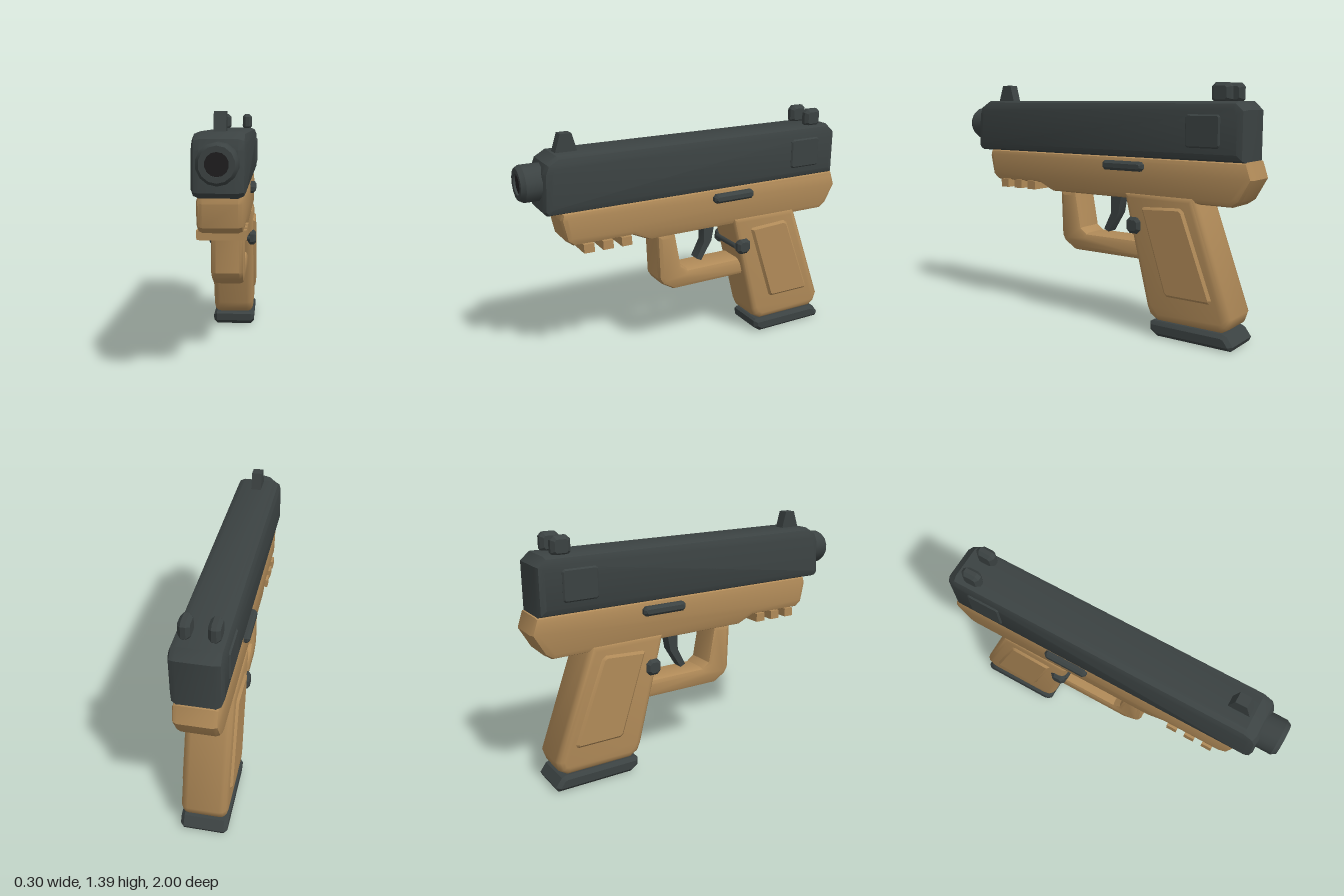
import * as THREE from 'three';
import { toCreasedNormals } from 'three/addons/utils/BufferGeometryUtils.js';

export function createModel() {
  const model = new THREE.Group();
  model.name = 'pistol';

  const material = (name, color) => {
    const m = new THREE.MeshStandardMaterial({ color });
    m.name = name;
    return m;
  };
  const dark = material('darkMetal', 0x3b4242);
  const tan = material('tanPolymer', 0xb08a58);
  const black = material('boreBlack', 0x1f1e1f);

  const add = (name, geometry, mat) => {
    const mesh = new THREE.Mesh(geometry, mat);
    mesh.name = name;
    model.add(mesh);
    return mesh;
  };

  // Side outline as [z, y] points, extruded from x0 to x1 with bevels kept inside the outline
  const slab = (name, points, x0, x1, bevel, mat, segments = 1, crease = 0.5) => {
    const shape = new THREE.Shape(points.map(([z, y]) => new THREE.Vector2(z, y)));
    const geometry = new THREE.ExtrudeGeometry(shape, {
      depth: x1 - x0 - 2 * bevel,
      bevelEnabled: bevel > 0,
      bevelThickness: bevel,
      bevelSize: bevel,
      bevelOffset: -bevel,
      bevelSegments: segments,
    });
    geometry.translate(0, 0, bevel - (x1 - x0) / 2);
    geometry.rotateY(-Math.PI / 2);
    geometry.translate((x0 + x1) / 2, 0, 0);
    return add(name, toCreasedNormals(geometry, crease), mat);
  };
  const pair = (name, points, x0, x1, bevel, mat) => {
    slab(name + 'Left', points, x0, x1, bevel, mat);
    slab(name + 'Right', points, -x1, -x0, bevel, mat);
  };
  // Rectangle outline with cut corners
  const rect = (z0, z1, y0, y1, c) => [
    [z0 + c, y0], [z1 - c, y0], [z1, y0 + c], [z1, y1 - c],
    [z1 - c, y1], [z0 + c, y1], [z0, y1 - c], [z0, y0 + c],
  ];

  // Slide and its raised side panels
  slab('slide', [
    [0.88, 0.985], [0.9, 1.01], [0.89, 1.21], [0.87, 1.26], [0.81, 1.295],
    [-0.91, 1.295], [-0.96, 1.25], [-0.96, 0.985],
  ], -0.132, 0.132, 0.04, dark, 2);
  pair('slidePanel', rect(-0.83, -0.63, 1.055, 1.228, 0.012), 0.11, 0.141, 0.008, dark);

  // Barrel with an open muzzle and a black bore
  const barrel = new THREE.LatheGeometry([
    [0.1, 0.8], [0.1, 0.975], [0.085, 1], [0.057, 1], [0.057, 0.985],
  ].map(([r, z]) => new THREE.Vector2(r, z)), 14);
  barrel.rotateX(Math.PI / 2);
  add('barrel', toCreasedNormals(barrel, 0.5), dark).position.y = 1.15;
  add('bore', new THREE.CircleGeometry(0.058, 14), black).position.set(0, 1.15, 0.988);

  // Sights
  slab('frontSight', [[0.8, 1.28], [0.763, 1.39], [0.7, 1.39], [0.67, 1.28]], -0.03, 0.03, 0, dark);
  pair('rearSight', rect(-0.863, -0.755, 1.285, 1.39, 0.02), 0.041, 0.101, 0.018, dark);

  // Frame with accessory rail
  slab('frame', [
    [0.8, 0.99], [-0.97, 0.99], [-1, 0.9], [-0.935, 0.785], [-0.89, 0.755],
    [0.3, 0.755], [0.4, 0.8], [0.745, 0.8], [0.785, 0.83], [0.81, 0.95],
  ], -0.117, 0.117, 0.03, tan, 2);
  for (const z of [0.67, 0.56, 0.45]) {
    add('railTooth', new THREE.BoxGeometry(0.25, 0.05, 0.06), tan).position.set(0, 0.782, z);
  }

  // Trigger guard
  slab('triggerGuard', [
    [0.247, 0.765], [0.237, 0.49], [0.215, 0.455], [0.14, 0.41], [-0.36, 0.41],
    [-0.36, 0.52], [0.05, 0.52], [0.09, 0.55], [0.13, 0.765],
  ], -0.095, 0.095, 0.028, tan, 2);

  // Trigger
  slab('trigger', [
    [-0.09, 0.78], [-0.165, 0.78], [-0.14, 0.65], [-0.07, 0.535], [-0.04, 0.55], [-0.09, 0.65],
  ], -0.035, 0.035, 0, dark);

  // Grip with raised side panels
  slab('grip', [
    [-0.23, 0.8], [-0.39, 0.16], [-0.41, 0.115], [-0.46, 0.085], [-0.85, 0.085],
    [-0.89, 0.11], [-0.91, 0.17], [-0.68, 0.8],
  ], -0.127, 0.127, 0.04, tan, 3, 0.8);
  pair('gripPanel', [
    [-0.36, 0.71], [-0.375, 0.72], [-0.6, 0.732], [-0.625, 0.715],
    [-0.8, 0.255], [-0.79, 0.235], [-0.53, 0.235], [-0.51, 0.25],
  ], 0.11, 0.141, 0.015, tan);

  // Magazine base
  slab('magazineBase', [
    [-0.415, 0.075], [-0.418, 0.03], [-0.46, 0], [-0.91, 0],
    [-0.922, 0.025], [-0.885, 0.075], [-0.86, 0.085], [-0.43, 0.085],
  ], -0.132, 0.132, 0.02, dark);

  // Slide stops, release buttons and the pin between them
  pair('slideStop', rect(-0.367, -0.1, 0.912, 0.965, 0.015), 0.1, 0.149, 0.014, dark);
  pair('releaseButton', rect(-0.355, -0.265, 0.565, 0.657, 0.022), 0.095, 0.148, 0.016, dark);
  const pin = new THREE.CylinderGeometry(0.018, 0.018, 0.22, 10);
  pin.rotateZ(Math.PI / 2);
  add('releasePin', pin, dark).position.set(0, 0.61, -0.275);

  return model;
}
